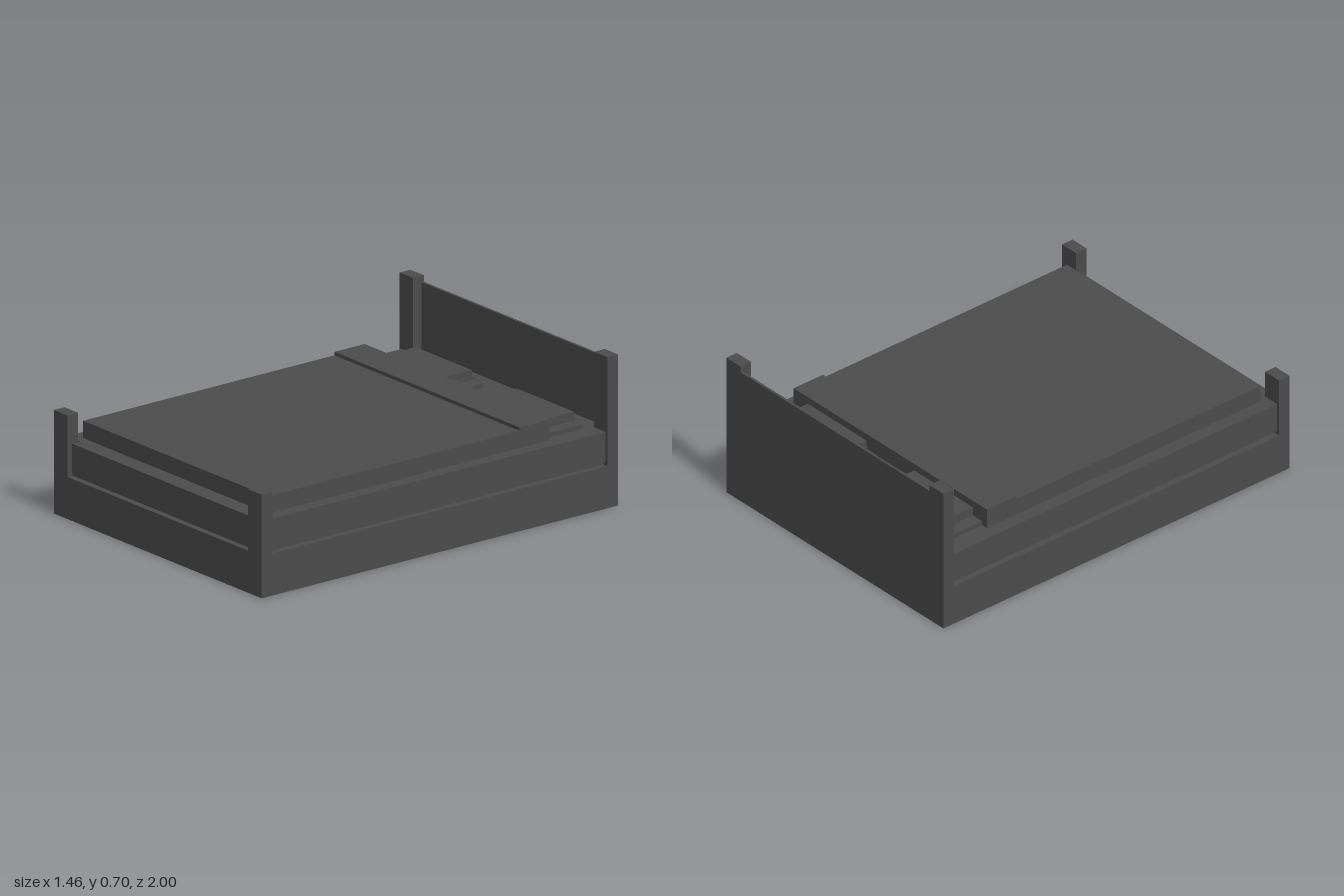
import * as THREE from 'three';

const grey = new THREE.MeshStandardMaterial({ color: 0x4c4c4c });
grey.name = 'charcoal grey';

// Box given by its limits on each axis
function box(parent, name, [x0, x1], [y0, y1], [z0, z1]) {
  const mesh = new THREE.Mesh(new THREE.BoxGeometry(x1 - x0, y1 - y0, z1 - z0), grey);
  mesh.position.set((x0 + x1) / 2, (y0 + y1) / 2, (z0 + z1) / 2);
  mesh.name = name;
  parent.add(mesh);
}

export function createModel() {
  const bed = new THREE.Group();
  bed.name = 'bed';

  // Solid base and thin headboard panel
  box(bed, 'base', [-0.73, 0.73], [0, 0.195], [-1, 1]);
  box(bed, 'headboard', [-0.636, 0.636], [0.195, 0.67], [-1, -0.988]);

  // Mattress: long body between the posts, narrower ends, and a recessed seam below
  box(bed, 'mattressSeam', [-0.7, 0.7], [0.195, 0.21], [-0.97, 0.97]);
  box(bed, 'mattressBody', [-0.715, 0.715], [0.21, 0.35], [-0.94, 0.94]);
  box(bed, 'mattressFoot', [-0.62, 0.62], [0.21, 0.35], [0.94, 0.985]);
  box(bed, 'mattressHead', [-0.62, 0.62], [0.21, 0.35], [-0.988, -0.94]);

  // Blanket with folded top edge
  box(bed, 'blanket', [-0.65, 0.65], [0.35, 0.43], [-0.51, 0.9]);
  box(bed, 'blanketFold', [-0.65, 0.65], [0.35, 0.446], [-0.68, -0.51]);

  for (const side of [-1, 1]) {
    const label = side > 0 ? 'left' : 'right';
    const span = (a, b) => (side > 0 ? [a, b] : [-b, -a]);

    // Corner posts
    box(bed, label + 'HeadPost', span(0.635, 0.73), [0.195, 0.7], [-1, -0.94]);
    box(bed, label + 'FootPost', span(0.635, 0.73), [0.195, 0.48], [0.94, 1]);

    // Stepped pillow, tucked under the fold
    const pillow = new THREE.Group();
    pillow.name = label + 'Pillow';
    box(pillow, 'pillowBottom', span(0.145, 0.57), [0.35, 0.365], [-0.92, -0.6]);
    box(pillow, 'pillowWings', span(0.082, 0.618), [0.35, 0.37], [-0.89, -0.6]);
    box(pillow, 'pillowMiddle', span(0.155, 0.545), [0.365, 0.38], [-0.905, -0.6]);
    box(pillow, 'pillowTop', span(0.16, 0.555), [0.37, 0.412], [-0.89, -0.6]);
    bed.add(pillow);
  }
  return bed;
}
